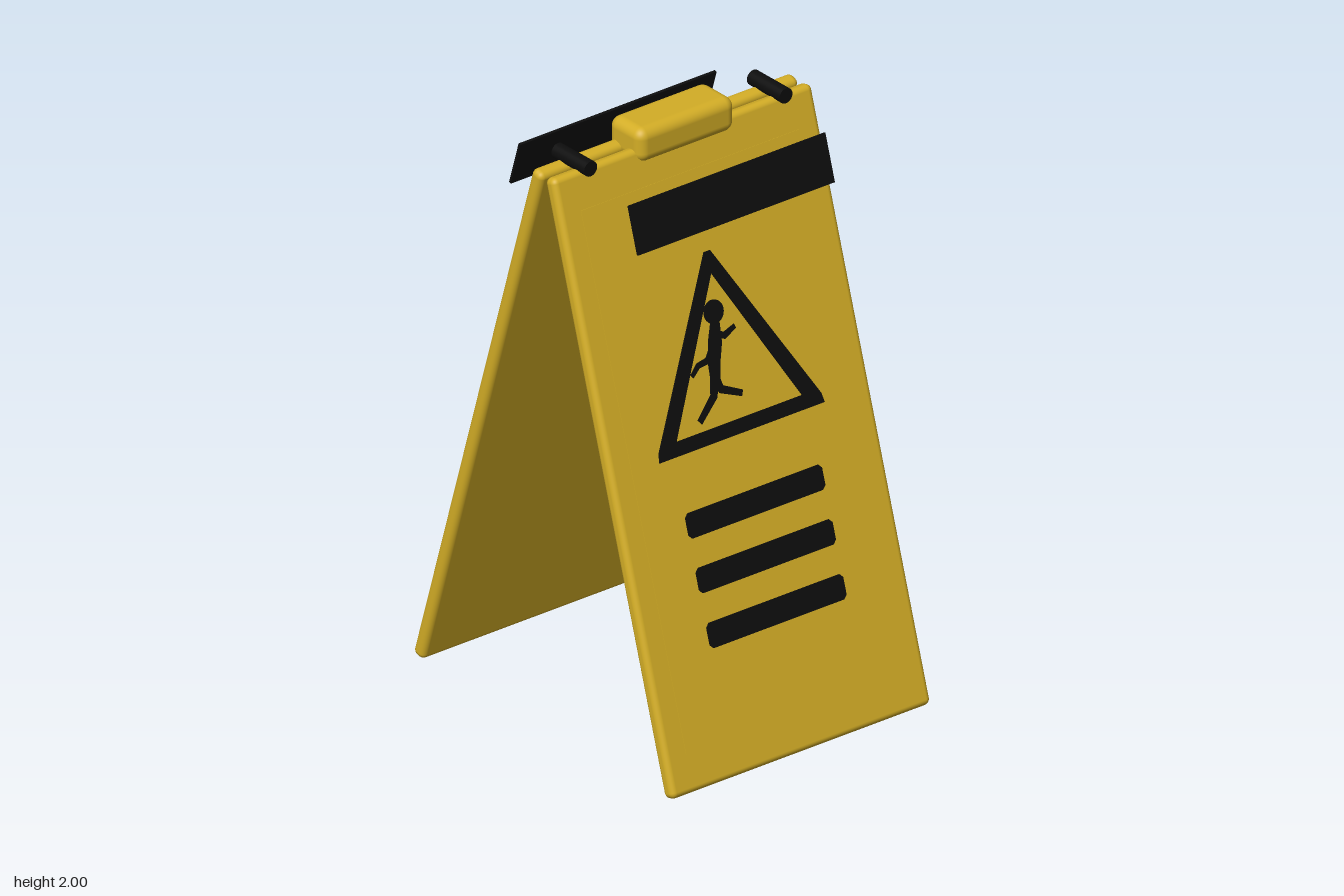
import * as THREE from 'three';
import { RoundedBoxGeometry } from 'three/addons/geometries/RoundedBoxGeometry.js';

const TILT = 0.297;
const THICK = 0.05;
const V = (x, y) => new THREE.Vector2(x, y);

export function createModel() {
  const yellow = new THREE.MeshStandardMaterial({ color: 0xd4ae26 });
  yellow.name = 'safetyYellow';
  const black = new THREE.MeshStandardMaterial({ color: 0x0d0d0d });
  black.name = 'signBlack';

  const model = new THREE.Group();
  model.name = 'floorSign';

  const add = (parent, name, geometry, material, x = 0, y = 0, z = 0) => {
    const mesh = new THREE.Mesh(geometry, material);
    mesh.name = name;
    mesh.position.set(x, y, z);
    parent.add(mesh);
    return mesh;
  };

  // Upright heights are converted to distances along the sloping face
  const along = (y) => (y - 0.972) / Math.cos(TILT);
  const outline = (points, flip) =>
    new THREE.Shape(points.map(([x, y]) => V(x * flip, along(y))));
  const decal = (parent, name, shapes) =>
    add(parent, name,
      new THREE.ExtrudeGeometry(shapes, { depth: 0.006, bevelEnabled: false, curveSegments: 16 }),
      black, 0, 0, THICK / 2);

  // Tapered stroke through a list of [x, y, width] points
  const limb = (points, flip) => {
    const left = [], right = [];
    points.forEach(([x, y, w], i) => {
      const a = points[Math.max(i - 1, 0)], b = points[Math.min(i + 1, points.length - 1)];
      const n = V(a[1] - b[1], b[0] - a[0]).setLength(w / 2);
      left.push([x + n.x, y + n.y]);
      right.unshift([x - n.x, y - n.y]);
    });
    return outline([...left, ...right], flip);
  };

  const buildSide = (name, flip) => {
    const side = new THREE.Group();
    side.name = name;
    const leaf = new THREE.Group();
    leaf.name = name + 'Leaf';
    leaf.position.set(0, 0.965, 0.323);
    leaf.rotation.x = -TILT;
    side.add(leaf);

    add(leaf, 'board', new RoundedBoxGeometry(1.03, 2.01, THICK, 4, 0.02), yellow);
    add(leaf, 'facePlate', new THREE.BoxGeometry(0.87, 1.76, 0.004), yellow, 0, 0, THICK / 2);

    // Header band standing clear of the board
    add(leaf, 'headerBand', new THREE.BoxGeometry(0.78, 0.16, 0.009), black, 0, 0.818, 0.2155);

    // Warning triangle
    const triangle = outline([[-0.328, 1.0], [0.328, 1.0], [0.322, 1.03], [0.012, 1.562], [-0.012, 1.562], [-0.322, 1.03]], 1);
    triangle.holes.push(outline([[-0.25, 1.044], [0, 1.495], [0.25, 1.044]], 1));
    decal(leaf, 'warningTriangle', triangle);

    // Slipping figure
    const head = new THREE.Shape();
    head.absarc(-0.018 * flip, along(1.38), 0.038, 0, Math.PI * 2);
    decal(leaf, 'slippingFigure', [
      head,
      limb([[-0.018, 1.36, 0.03], [-0.035, 1.29, 0.052], [-0.053, 1.23, 0.045], [-0.06, 1.18, 0.036]], flip),
      limb([[-0.035, 1.318, 0.024], [0.005, 1.3, 0.022], [0.05, 1.317, 0.014]], flip),
      limb([[-0.04, 1.285, 0.024], [-0.075, 1.245, 0.022], [-0.115, 1.24, 0.018], [-0.145, 1.215, 0.014]], flip),
      limb([[-0.058, 1.2, 0.036], [-0.078, 1.135, 0.026], [-0.148, 1.075, 0.02]], flip),
      limb([[-0.06, 1.19, 0.032], [-0.045, 1.148, 0.026], [0.03, 1.115, 0.02]], flip),
    ]);

    // Three bars with clipped ends
    [0.787, 0.618, 0.448].forEach((y, i) => {
      const w = 0.271, h = 0.039, c = 0.012;
      decal(leaf, 'bar' + (i + 1), outline([
        [-w, y - h + c], [-w + c, y - h], [w - c, y - h], [w, y - h + c],
        [w, y + h - c], [w - c, y + h], [-w + c, y + h], [-w, y + h - c]], 1));
    });
    return side;
  };

  // Front and back leaves, the back figure being reversed
  model.add(buildSide('front', 1));
  const back = buildSide('back', -1);
  back.rotation.y = Math.PI;
  model.add(back);

  // Carry handle
  add(model, 'handle', new RoundedBoxGeometry(0.385, 0.118, 0.16, 5, 0.035), yellow, 0, 1.941, 0);

  // Hinge pins
  for (const s of [1, -1]) {
    const pin = add(model, s > 0 ? 'leftHingePin' : 'rightHingePin',
      new THREE.CylinderGeometry(0.026, 0.026, 0.16, 20), black, s * 0.388, 1.94, 0);
    pin.rotation.x = Math.PI / 2;
  }
  return model;
}
